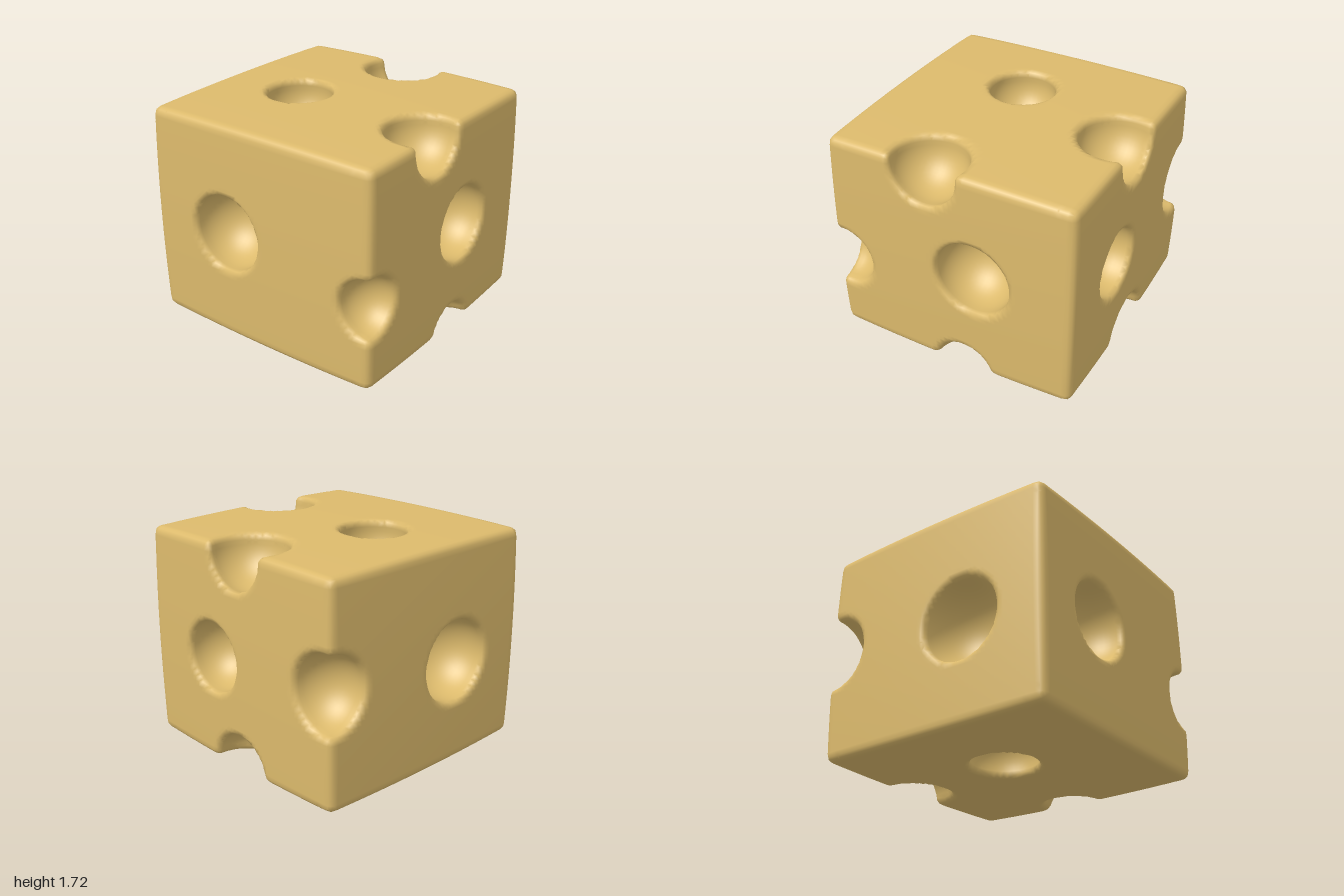
import * as THREE from 'three';

// Block half sizes, edge rounding and how far the faces swell in the middle
const HALF = [1, 0.86, 1], ROUND = 0.05, SWELL = 0.014;

// Round holes scooped out of the block: x, y, z, radius
const HOLES = [
  [-0.29, 0.87, 0.90, 0.30],   // front face
  [0.90, 0.87, -0.19, 0.30],   // right-hand (+x) face
  [-0.30, 1.62, 0.10, 0.255],  // top face
  [0.27, 0.83, -0.91, 0.275],  // back face
  [-0.91, 0.81, 0.28, 0.32],   // -x face
  [-0.17, 0.10, 0.06, 0.26],   // bottom face
  [0.00, 1.66, -0.83, 0.29],   // top back edge
  [0.86, 1.65, 0.19, 0.28],    // top +x edge
  [0.96, 0.67, 0.92, 0.235],   // front +x edge
  [0.95, -0.02, -0.10, 0.225], // bottom +x edge
  [-0.01, 0.01, -0.93, 0.27],  // bottom back edge
  [-0.92, 0.89, -0.95, 0.29],  // back -x edge
];

function smoothMax(a, b, k) {
  const h = Math.max(k - Math.abs(a - b), 0) / k;
  return Math.max(a, b) + h * h * k * 0.25;
}

// Signed distance to the swollen rounded block
function blockDistance(p) {
  const u = p.map((v, i) => Math.min(1, (v / HALF[i]) ** 2));
  const sum = u[0] + u[1] + u[2];
  const q = p.map((v, i) => Math.abs(v) - HALF[i] + SWELL * (sum - u[i]) + ROUND);
  const outside = Math.hypot(...q.map((v) => Math.max(v, 0)));
  return outside + Math.min(Math.max(...q), 0) - ROUND;
}

// Block minus the holes, with softened rims
function field(p) {
  let d = blockDistance(p);
  for (const [x, y, z, r] of HOLES) {
    const cut = r - Math.hypot(p[0] - x, p[1] + HALF[1] - y, p[2] - z);
    if (cut > -0.2) d = smoothMax(d, cut, 0.06);
  }
  return d;
}

function gradient(p) {
  const e = 0.004;
  return p.map((_, i) => {
    const a = p.slice(), b = p.slice();
    a[i] += e;
    b[i] -= e;
    return (field(a) - field(b)) / (2 * e);
  });
}

// Mesh the zero surface of the field: one vertex per crossed cell, one quad per crossed edge
function surfaceGeometry(step) {
  const n = HALF.map((h) => 2 * Math.ceil((h + 0.05) / step) + 2);
  const stride = [1, n[0], n[0] * n[1]];
  const at = (i, j, k) => i + j * stride[1] + k * stride[2];
  const point = (...g) => g.map((v, a) => (v - (n[a] - 1) / 2) * step);
  const values = new Float32Array(n[0] * n[1] * n[2]);
  const cells = new Int32Array(values.length).fill(-1);
  const positions = [], normals = [], index = [];

  const each = (visit) => {
    for (let k = 0; k < n[2] - 1; k++)
      for (let j = 0; j < n[1] - 1; j++)
        for (let i = 0; i < n[0] - 1; i++) visit(i, j, k);
  };
  for (let k = 0; k < n[2]; k++)
    for (let j = 0; j < n[1]; j++)
      for (let i = 0; i < n[0]; i++) values[at(i, j, k)] = field(point(i, j, k));

  // Vertices: mean of the edge crossings, pulled onto the surface
  each((i, j, k) => {
    const mean = [0, 0, 0];
    let count = 0;
    for (let c = 0; c < 8; c++) {
      const o = [c & 1, (c >> 1) & 1, c >> 2];
      for (let a = 0; a < 3; a++) {
        if (o[a]) continue;
        const id = at(i + o[0], j + o[1], k + o[2]);
        const v0 = values[id], v1 = values[id + stride[a]];
        if ((v0 < 0) === (v1 < 0)) continue;
        const p = point(i + o[0], j + o[1], k + o[2]);
        p[a] += (step * v0) / (v0 - v1);
        p.forEach((v, b) => { mean[b] += v; });
        count++;
      }
    }
    if (!count) return;
    let p = mean.map((v) => v / count);
    let g = gradient(p);
    const move = field(p) / Math.max(0.3, g[0] ** 2 + g[1] ** 2 + g[2] ** 2);
    p = p.map((v, a) => v - g[a] * Math.max(-step / 2, Math.min(step / 2, move)));
    g = gradient(p);
    const len = Math.hypot(...g) || 1;
    cells[at(i, j, k)] = positions.length / 3;
    positions.push(...p);
    normals.push(...g.map((v) => v / len));
  });

  // Faces
  each((i, j, k) => {
    const id = at(i, j, k);
    for (let a = 0; a < 3; a++) {
      const inside = values[id] < 0;
      if (inside === values[id + stride[a]] < 0) continue;
      const b = stride[(a + 1) % 3], c = stride[(a + 2) % 3];
      const q = [cells[id], cells[id - b], cells[id - b - c], cells[id - c]];
      if (!inside) q.reverse();
      index.push(q[0], q[1], q[2], q[0], q[2], q[3]);
    }
  });

  const geometry = new THREE.BufferGeometry();
  geometry.setAttribute('position', new THREE.Float32BufferAttribute(positions, 3));
  geometry.setAttribute('normal', new THREE.Float32BufferAttribute(normals, 3));
  geometry.setIndex(index);
  return geometry;
}

export function createModel() {
  const cheeseYellow = new THREE.MeshStandardMaterial({ color: 0xdcba6c });
  cheeseYellow.name = 'cheeseYellow';

  const block = new THREE.Mesh(surfaceGeometry(0.035), cheeseYellow);
  block.name = 'cheeseBlock';
  block.position.y = HALF[1];

  const model = new THREE.Group();
  model.name = 'cheese';
  model.add(block);
  return model;
}
